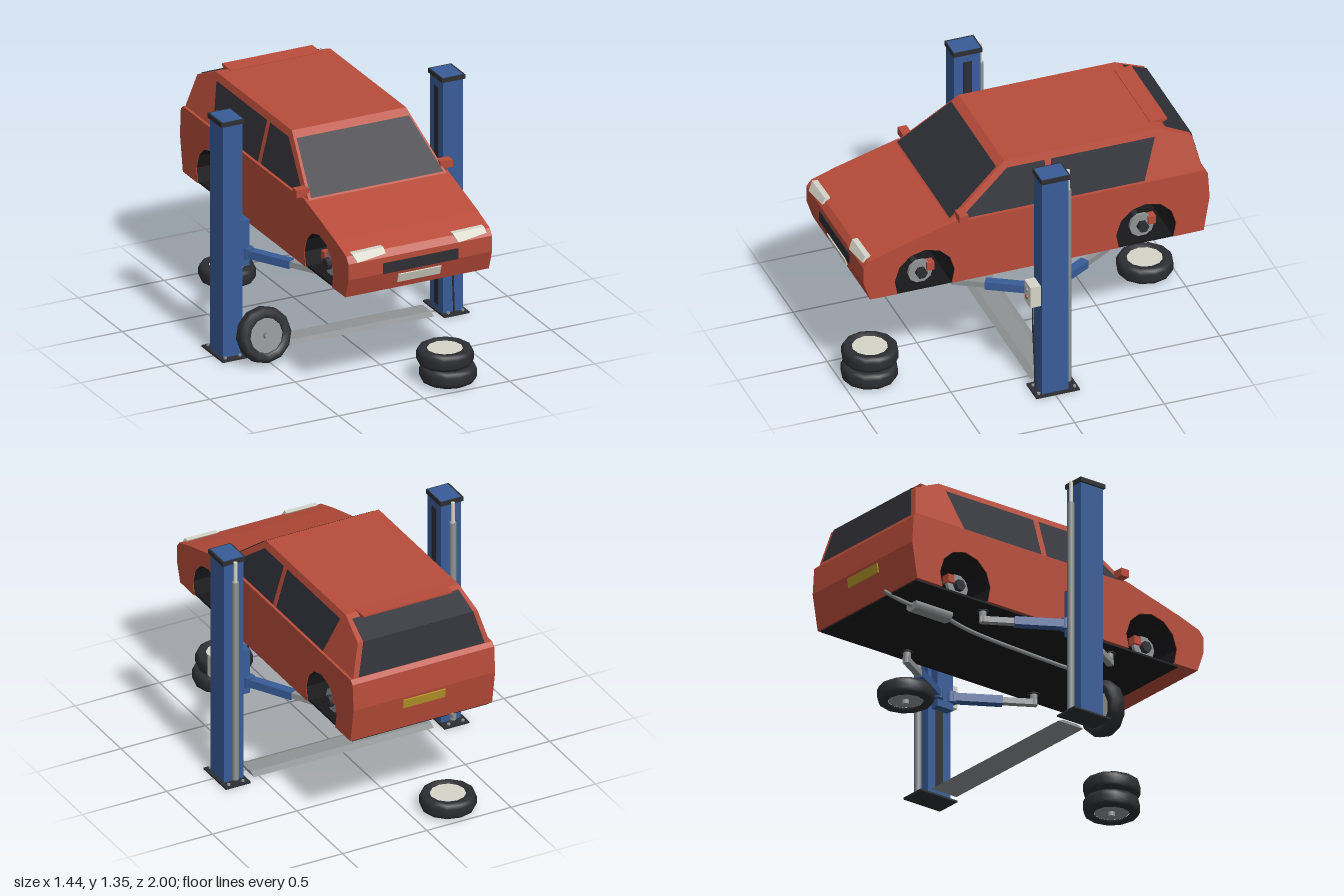
import * as THREE from 'three';

const mat = (name, color, side = THREE.FrontSide) => {
  const m = new THREE.MeshStandardMaterial({ color, side });
  m.name = name;
  return m;
};
const red = mat('red paint', 0xb84c3a);
const blue = mat('blue paint', 0x385c98);
const glass = mat('dark glass', 0x2e2f36, THREE.DoubleSide);
const rubber = mat('rubber', 0x2d2e33);
const black = mat('black underside', 0x19191c, THREE.DoubleSide);
const steel = mat('steel', 0x8f9394);
const ivory = mat('ivory', 0xd6d5c8);
const yellow = mat('yellow plate', 0xb8962c);

function add(parent, name, geometry, material, x = 0, y = 0, z = 0) {
  const mesh = new THREE.Mesh(geometry, material);
  mesh.name = name;
  mesh.position.set(x, y, z);
  parent.add(mesh);
  return mesh;
}
// Box given by its limits
const box = (parent, name, material, x0, x1, y0, y1, z0, z1) =>
  add(parent, name, new THREE.BoxGeometry(x1 - x0, y1 - y0, z1 - z0), material,
    (x0 + x1) / 2, (y0 + y1) / 2, (z0 + z1) / 2);
const cyl = (r, h, sides, r2 = r) => new THREE.CylinderGeometry(r, r2, h, sides);

// Faceted strip of quads through rows of point pairs
function sheet(rows) {
  const index = [];
  for (let i = 0; i < rows.length - 1; i++) {
    const a = i * 2;
    index.push(a, a + 1, a + 3, a, a + 3, a + 2);
  }
  let g = new THREE.BufferGeometry();
  g.setAttribute('position', new THREE.Float32BufferAttribute(rows.flat(2), 3));
  g.setIndex(index);
  g = g.toNonIndexed();
  g.computeVertexNormals();
  return g;
}
// Side profile of [z, y] points swept across the width
function sweep(points, halfWidth) {
  const shape = new THREE.Shape(points.map(p => new THREE.Vector2(...p)));
  const g = new THREE.ExtrudeGeometry(shape, { depth: halfWidth * 2, bevelEnabled: false });
  return g.rotateY(-Math.PI / 2).translate(halfWidth, 0, 0);
}
const tube = (points, r) => new THREE.TubeGeometry(
  new THREE.CatmullRomCurve3(points.map(p => new THREE.Vector3(...p))), 20, r, 8);

const AXLES = [-0.62, 0.615];
const arch = (c, r) => Array.from({ length: 9 }, (_, i) => {
  const a = Math.PI + 0.44 - i * (Math.PI + 0.88) / 8;
  return [c + r * Math.cos(a), 0.7 + r * Math.sin(a)];
});
const cabinX = y => 0.405 - 0.27 * (y - 1);

function makeCar() {
  const car = new THREE.Group();
  car.name = 'car';

  // Lower body with wheel arches cut through
  add(car, 'body', sweep([
    [0.92, 0.63], [0.957, 0.74], [0.957, 0.83], [0.93, 0.865], [0.797, 0.91], [0.445, 1.008],
    [0.4, 1.0], [-0.94, 1.0], [-0.963, 0.98], [-0.973, 0.83], [-0.94, 0.63],
    ...arch(AXLES[0], 0.168), ...arch(AXLES[1], 0.168)], 0.42), red);
  for (const z of AXLES) {
    add(car, 'archLiner', sheet(arch(z, 0.165).map(([pz, y]) => [[-0.418, y, pz], [0.418, y, pz]])), black);
  }
  box(car, 'floor', black, -0.405, 0.405, 0.62, 0.632, -0.93, 0.8);

  // Cabin narrowing towards the roof
  const cabin = sweep([[0.47, 0.98], [0.47, 1.0], [0.14, 1.262], [-0.73, 1.262],
    [-0.9, 1.185], [-0.94, 1.0], [-0.94, 0.98]], 1);
  const p = cabin.attributes.position;
  for (let i = 0; i < p.count; i++) p.setX(i, p.getX(i) * cabinX(p.getY(i)));
  cabin.computeVertexNormals();
  add(car, 'cabin', cabin, red);

  // Windows
  const span = (z, y, inset) => [[-cabinX(y) + inset, y, z], [cabinX(y) - inset, y, z]];
  add(car, 'windscreen', sheet([span(0.464, 1.012, 0.014), span(0.184, 1.234, 0.012)]), glass);
  add(car, 'rearWindow', sheet([span(-0.765, 1.252, 0.022), span(-0.906, 1.188, 0.028), span(-0.945, 1.006, 0.03)]), glass);
  for (const s of [-1, 1]) {
    const at = (z, y) => [s * (cabinX(y) + 0.004), y, z];
    add(car, 'frontSideWindow', sheet([[at(0.415, 1.005), at(0.13, 1.225)], [at(-0.07, 1.005), at(-0.08, 1.225)]]), glass);
    add(car, 'rearSideWindow', sheet([[at(-0.105, 1.005), at(-0.115, 1.225)], [at(-0.615, 1.005), at(-0.695, 1.225)]]), glass);
    // Wing mirrors
    const [a, b] = s > 0 ? [0.385, 0.457] : [-0.457, -0.385];
    box(car, 'mirror', red, a, b, 1.013, 1.055, 0.385, 0.435);
  }
  add(car, 'spoiler', sweep([[-0.7, 1.255], [-0.7, 1.266], [-0.795, 1.27], [-0.795, 1.26], [-0.75, 1.235]], 0.265), red);

  // Nose and tail details
  const lamp = new THREE.Shape([[0, 0.877], [0.185, 0.88], [0.19, 0.85], [0.02, 0.832]].map(q => new THREE.Vector2(...q)));
  const lampGeo = new THREE.ExtrudeGeometry(lamp, { depth: 0.03, bevelEnabled: false });
  const lp = lampGeo.attributes.position;
  for (let i = 0; i < lp.count; i++) lp.setZ(i, lp.getZ(i) - 0.6 * (lp.getY(i) - 0.83));
  lampGeo.computeVertexNormals();
  for (const x of [-0.39, 0.2]) add(car, 'headlight', lampGeo, ivory, x, 0, 0.935);
  box(car, 'grille', rubber, -0.22, 0.22, 0.738, 0.798, 0.953, 0.961);
  add(car, 'frontPlate', new THREE.BoxGeometry(0.25, 0.052, 0.009), ivory, 0, 0.692, 0.943).rotation.x = 0.325;
  add(car, 'rearPlate', new THREE.BoxGeometry(0.25, 0.052, 0.009), yellow, 0, 0.787, -0.969).rotation.x = -0.16;

  // Bare hubs with brake discs and calipers
  for (const z of AXLES) {
    add(car, 'axle', cyl(0.018, 0.7, 8).rotateZ(Math.PI / 2), rubber, 0, 0.695, z);
    for (const s of [-1, 1]) {
      add(car, 'brakeDisc', cyl(0.068, 0.02, 10).rotateZ(Math.PI / 2), steel, s * 0.345, 0.695, z);
      add(car, 'hub', cyl(0.032, 0.04, 6).rotateZ(Math.PI / 2), rubber, s * 0.362, 0.695, z);
      add(car, 'caliper', new THREE.BoxGeometry(0.05, 0.045, 0.042), red, s * 0.345, 0.722, z - 0.053);
    }
  }

  // Exhaust
  add(car, 'exhaustPipe', tube([[-0.05, 0.612, 0.55], [-0.07, 0.61, 0.1], [-0.11, 0.608, -0.35], [-0.17, 0.605, -0.56]], 0.011), steel);
  add(car, 'muffler', cyl(0.033, 0.24, 10).rotateX(Math.PI / 2).scale(1.35, 1, 1), steel, -0.175, 0.606, -0.665);
  add(car, 'tailPipe', tube([[-0.175, 0.606, -0.77], [-0.18, 0.61, -0.86], [-0.18, 0.632, -0.975]], 0.011), steel);
  return car;
}

// One lift post with carriage, ram and swing arms; s is the side
function makePost(s) {
  const post = new THREE.Group();
  post.name = 'liftPost';
  const b = (name, m, x0, x1, ...rest) => box(post, name, m, Math.min(s * x0, s * x1), Math.max(s * x0, s * x1), ...rest);
  b('basePlate', rubber, 0.575, 0.722, 0.004, 0.014, -0.135, 0.108);
  for (const x of [0.61, 0.695]) {
    for (const z of [-0.115, 0.085]) add(post, 'anchorBolt', cyl(0.009, 0.012, 6), steel, s * x, 0.018, z);
  }
  b('column', blue, 0.586, 0.703, 0.012, 1.351, -0.078, 0.07);
  b('slot', rubber, 0.583, 0.588, 0.04, 1.28, -0.028, 0.02);
  b('cap', rubber, 0.579, 0.714, 1.325, 1.35, -0.086, 0.076);
  b('carriage', blue, 0.535, 0.587, 0.5, 0.76, -0.055, 0.047);
  add(post, 'ram', cyl(0.018, 1.19, 12), steel, s * 0.645, 0.625, -0.097);
  add(post, 'ramRod', cyl(0.011, 0.13, 10), ivory, s * 0.645, 1.275, -0.097);

  for (const d of [-1, 1]) {
    // Telescopic arm pointing along its own z towards the pad
    const arm = new THREE.Group();
    arm.name = 'swingArm';
    arm.position.set(s * 0.54, 0.57, -0.006 + d * 0.045);
    arm.rotation.y = Math.atan2(-s * 0.22, d * 0.375);
    add(arm, 'pivot', cyl(0.03, 0.06, 8), blue);
    box(arm, 'outerArm', blue, -0.025, 0.025, -0.023, 0.022, 0, 0.27);
    box(arm, 'innerArm', steel, -0.018, 0.018, -0.016, 0.016, 0.24, 0.45);
    add(arm, 'padStem', cyl(0.02, 0.065, 10), steel, 0, 0.017, 0.435);
    add(arm, 'pad', cyl(0.033, 0.016, 10), rubber, 0, 0.054, 0.435);
    post.add(arm);
  }
  return post;
}

// Wheel lying flat, hub side down
const tyreGeo = new THREE.LatheGeometry([[0.095, -0.03], [0.098, -0.042], [0.127, -0.047], [0.143, -0.038],
  [0.151, -0.02], [0.151, 0.02], [0.143, 0.038], [0.127, 0.047], [0.098, 0.042], [0.095, 0.03]]
  .map(q => new THREE.Vector2(...q)), 12);
function makeWheel() {
  const wheel = new THREE.Group();
  wheel.name = 'wheel';
  add(wheel, 'tyre', tyreGeo, rubber);
  add(wheel, 'rim', cyl(0.097, 0.06, 12, 0.094), steel);
  add(wheel, 'rimBack', cyl(0.095, 0.008, 12), ivory, 0, 0.034, 0);
  add(wheel, 'hubCap', cyl(0.02, 0.03, 6), steel, 0, -0.039, 0);
  return wheel;
}

export function createModel() {
  const model = new THREE.Group();
  model.name = 'carOnLift';
  model.add(makeCar(), makePost(1), makePost(-1));

  // Ramp plate between the posts
  add(model, 'floorBridge', sweep([[-0.095, 0.008], [-0.06, 0.024], [0.035, 0.024], [0.07, 0.008]], 0.534), steel);

  // Control box and its cable
  box(model, 'controlBox', ivory, 0.599, 0.688, 0.556, 0.681, 0.068, 0.128);
  add(model, 'greyButton', cyl(0.012, 0.012, 8).rotateX(Math.PI / 2), steel, 0.643, 0.646, 0.13);
  add(model, 'redButton', cyl(0.012, 0.012, 8).rotateX(Math.PI / 2), red, 0.643, 0.602, 0.13);
  add(model, 'cable', tube([[0.642, 0.56, 0.097], [0.633, 0.42, 0.094], [0.635, 0.25, 0.088], [0.645, 0.015, 0.082]], 0.005), rubber);

  // Removed wheels: a stack of two, a single and one leaning
  for (const [x, y, z] of [[0.218, 0.058, 0.849], [0.204, 0.153, 0.84], [-0.207, 0.058, -0.849]]) {
    const wheel = makeWheel();
    wheel.position.set(x, y, z);
    model.add(wheel);
  }
  const leaning = makeWheel();
  leaning.position.set(-0.53, 0.164, 0.2);
  leaning.rotation.x = -Math.PI / 2 - 0.21;
  model.add(leaning);
  return model;
}
